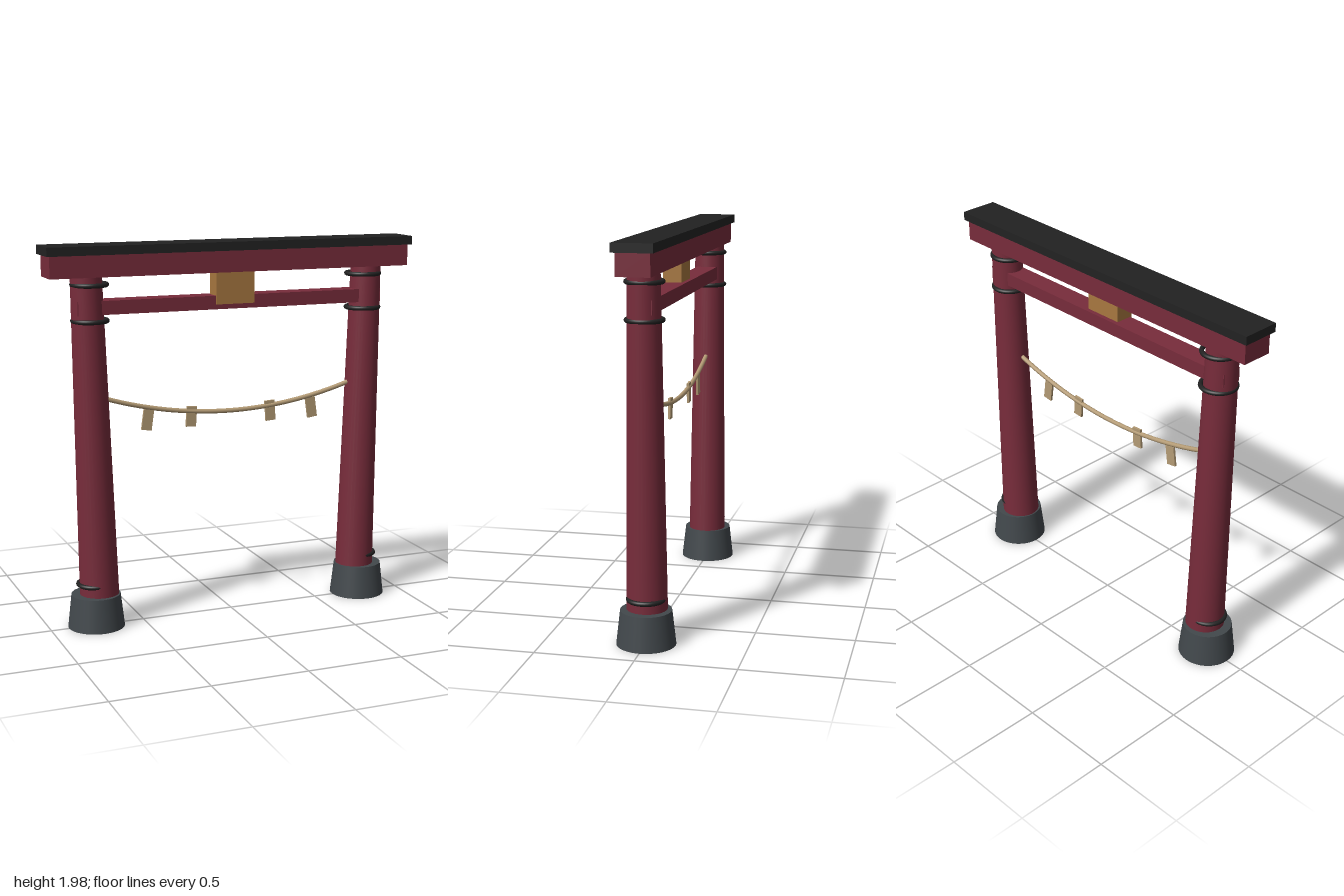
import * as THREE from 'three';

const mat = (name, color) => {
  const m = new THREE.MeshStandardMaterial({ color });
  m.name = name;
  return m;
};

export function createModel() {
  const red = mat('red lacquer', 0x782c3b);
  const black = mat('black', 0x222222);
  const stone = mat('grey stone', 0x42484c);
  const gold = mat('ochre wood', 0xa87840);
  const straw = mat('straw', 0xb49b75);

  const model = new THREE.Group();
  model.name = 'gateway';

  const add = (name, geometry, material, x, y, z, parent = model) => {
    const mesh = new THREE.Mesh(geometry, material);
    mesh.name = name;
    mesh.position.set(x, y, z);
    parent.add(mesh);
    return mesh;
  };

  // Roof cap, main beam and tie beam
  add('roofCap', new THREE.BoxGeometry(2, 0.045, 0.2), black, 0, 1.9575, 0);
  add('topBeam', new THREE.BoxGeometry(1.966, 0.112, 0.166), red, 0, 1.88, 0);
  add('tieBeam', new THREE.BoxGeometry(1.676, 0.07, 0.11), red, 0, 1.669, 0);

  // Plaque hung between the beams, set a little forward
  add('plaque', new THREE.BoxGeometry(0.21, 0.17, 0.098), gold, 0, 1.745, 0.017);

  // Pillars leaning slightly outward, with upright feet and bands
  const pillarGeo = new THREE.CylinderGeometry(0.08, 0.1025, 1.68, 32);
  const footGeo = new THREE.CylinderGeometry(0.128, 0.148, 0.175, 32);
  const bandGeo = new THREE.TorusGeometry(0.087, 0.012, 10, 40).rotateX(Math.PI / 2);
  for (const side of [-1, 1]) {
    const post = new THREE.Group();
    post.name = side > 0 ? 'leftPost' : 'rightPost';
    post.position.x = side * 0.757;
    model.add(post);
    add('pillar', pillarGeo, red, 0, 0.99, 0, post).rotation.z = -side * 0.0236;
    add('foot', footGeo, stone, 0, 0.0875, 0, post);
    for (const y of [0.23, 1.602, 1.783]) add('band', bandGeo, black, side * 0.003, y, 0, post);
  }

  // Sagging rope
  const sag = (x) => 1.089 + 0.233 * x * x;
  const points = [];
  for (let i = -6; i <= 6; i++) points.push(new THREE.Vector3(i * 0.12, sag(i * 0.12), 0));
  const ropeCurve = new THREE.CatmullRomCurve3(points);
  add('rope', new THREE.TubeGeometry(ropeCurve, 48, 0.012, 10), straw, 0, 0, 0);

  // Strips hanging square to the rope
  const stripGeo = new THREE.BoxGeometry(0.055, 0.108, 0.012);
  for (const x of [-0.463, -0.223, 0.223, 0.463]) {
    add('hangingStrip', stripGeo, straw, x, 1.073, 0).rotation.z = x * 0.3;
  }

  return model;
}
